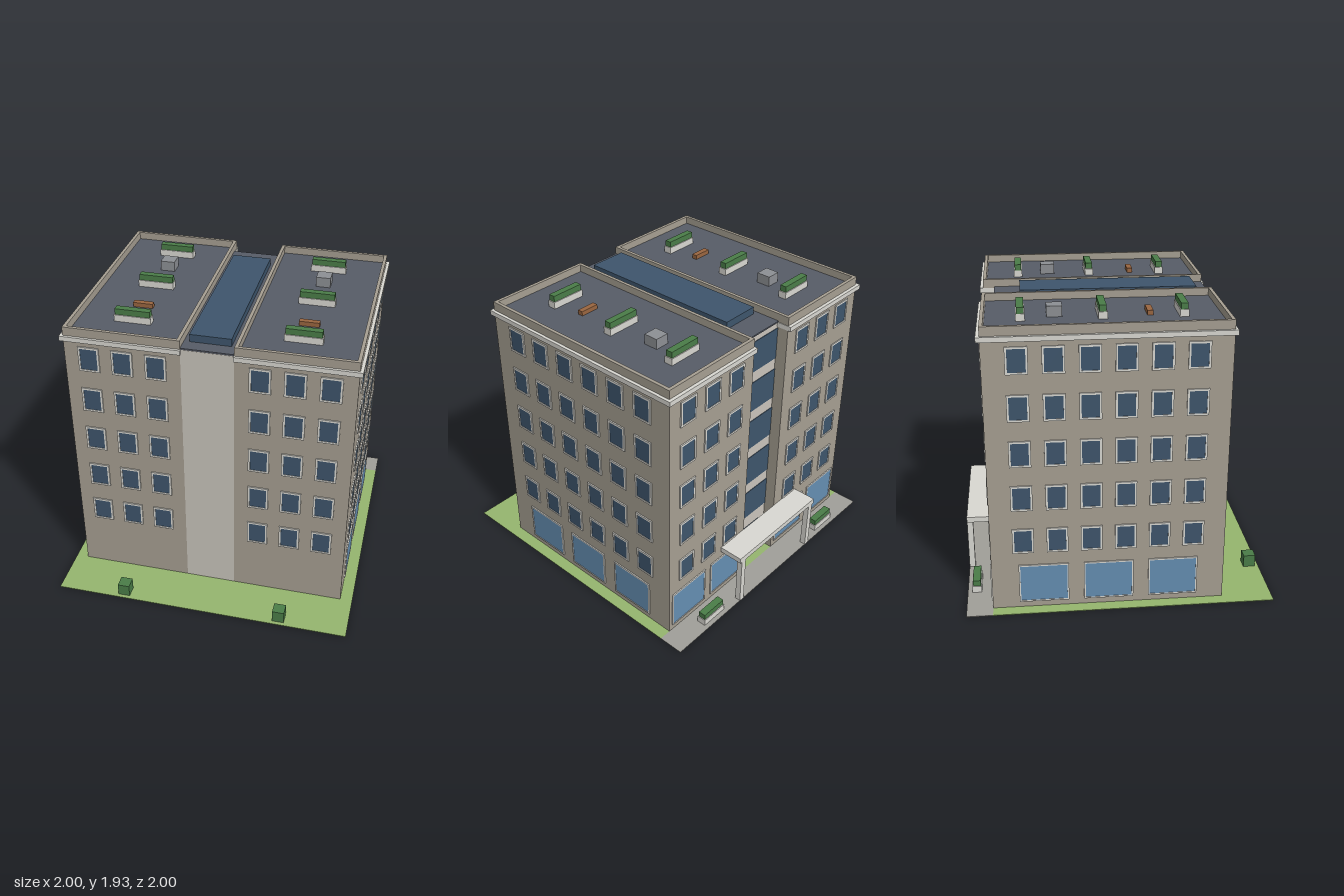
import * as THREE from 'three';

const mat = (color) => new THREE.MeshStandardMaterial({ color, flatShading: true });
const M = {
  wall: mat(0xa69f92), core: mat(0xc9c4bb), trim: mat(0xd9d8d2), roof: mat(0x575c67),
  glass: mat(0x3e556c), shopGlass: mat(0x658eb2), grass: mat(0x95b56e), paving: mat(0xa09f99),
  hedge: mat(0x4a7d48), metal: mat(0x8d9094), wood: mat(0x9a6640),
};

// Box given by its minimum and maximum on each axis
function box(parent, name, material, [x0, x1], [y0, y1], [z0, z1]) {
  const mesh = new THREE.Mesh(new THREE.BoxGeometry(x1 - x0, y1 - y0, z1 - z0), material);
  mesh.name = name;
  mesh.position.set((x0 + x1) / 2, (y0 + y1) / 2, (z0 + z1) / 2);
  parent.add(mesh);
  return mesh;
}

// Rectangular ring extruded along +z
function ringGeometry(w, h, border, depth) {
  const rect = (target, a, b) => target.moveTo(-a, -b).lineTo(a, -b).lineTo(a, b).lineTo(-a, b).closePath();
  const shape = rect(new THREE.Shape(), w / 2, h / 2);
  shape.holes.push(rect(new THREE.Path(), w / 2 - border, h / 2 - border));
  return new THREE.ExtrudeGeometry(shape, { depth, bevelEnabled: false });
}

// Window maker: raised frame around a thin pane, facing +z before turning
function windowMaker(name, w, h, border, glass) {
  const frameGeo = ringGeometry(w, h, border, 0.008);
  const paneGeo = new THREE.BoxGeometry(w - border * 2, h - border * 2, 0.01);
  return (parent, x, y, z, turn) => {
    const g = new THREE.Group();
    g.name = name;
    const frame = new THREE.Mesh(frameGeo, M.trim);
    frame.name = 'windowFrame';
    const pane = new THREE.Mesh(paneGeo, glass);
    pane.name = 'windowPane';
    g.add(frame, pane);
    g.position.set(x, y, z);
    g.rotation.y = turn;
    parent.add(g);
  };
}

// Trough with a clipped hedge
function planter(parent, x, y, z, w, d) {
  const g = new THREE.Group();
  g.name = 'planter';
  g.position.set(x, y, z);
  box(g, 'trough', M.trim, [-w / 2, w / 2], [0, 0.045], [-d / 2, d / 2]);
  box(g, 'hedge', M.hedge, [-w / 2 + 0.006, w / 2 - 0.006], [0.045, 0.085], [-d / 2 + 0.006, d / 2 - 0.006]);
  parent.add(g);
}

export function createModel() {
  const model = new THREE.Group();
  model.name = 'apartmentBuilding';
  const addWindow = windowMaker('window', 0.136, 0.172, 0.013, M.glass);
  const addShopWindow = windowMaker('groundFloorWindow', 0.32, 0.27, 0.01, M.shopGlass);
  const floors = [0, 1, 2, 3, 4].map((i) => 0.49 + 0.3 * i);
  const FRONT = 0.67, BACK = -0.83, MID = -0.08, IN = 0.168, OUT = 0.918, WX = 0.543, ROOF = 1.85;

  // Ground
  box(model, 'lawn', M.grass, [-1, 1], [0, 0.005], [BACK, 1]);
  box(model, 'paving', M.paving, [-1, 1], [0, 0.005], [-1, BACK]);

  // Two mirrored wings
  for (const s of [-1, 1]) {
    const wing = new THREE.Group();
    wing.name = s > 0 ? 'leftWing' : 'rightWing';
    model.add(wing);
    const span = (a, b) => (s > 0 ? [a, b] : [-b, -a]);
    box(wing, 'wingWalls', M.wall, span(IN, OUT), [0, 1.845], [BACK, FRONT]);
    box(wing, 'cornice', M.trim, span(IN - 0.004, 0.938), [1.81, 1.842], [-0.852, 0.687]);
    box(wing, 'wingRoof', M.roof, span(IN + 0.01, OUT - 0.01), [1.84, ROOF], [BACK + 0.01, FRONT - 0.01]);

    const parapet = new THREE.Mesh(ringGeometry(OUT - IN, FRONT - BACK, 0.022, 0.057), M.wall);
    parapet.name = 'parapet';
    parapet.rotation.x = -Math.PI / 2;
    parapet.position.set(s * WX, 1.843, MID);
    wing.add(parapet);

    // Upper floor windows on front, back and side
    for (const y of floors) {
      for (const i of [-1, 0, 1]) {
        addWindow(wing, s * (WX + i * 0.216), y, FRONT, 0);
        addWindow(wing, s * (WX + i * 0.216), y, BACK, Math.PI);
      }
      for (let i = 0; i < 6; i++) {
        addWindow(wing, s * OUT, y, MID + (i - 2.5) * 0.217, s * Math.PI / 2);
      }
    }

    // Large ground floor windows on side and back
    for (const i of [-1, 0, 1]) addShopWindow(wing, s * OUT, 0.18, MID + i * 0.417, s * Math.PI / 2);
    for (const i of [-1, 1]) addShopWindow(wing, s * (WX + i * 0.188), 0.18, BACK, Math.PI);

    // Roof garden
    for (const z of [-0.59, -0.09, 0.41]) planter(wing, s * WX, ROOF, z, 0.24, 0.057);
    box(wing, 'roofVent', M.metal, span(0.493, 0.59), [ROOF, 1.918], [-0.43, -0.333]);
    box(wing, 'roofBench', M.wood, span(0.477, 0.607), [ROOF, 1.88], [0.188, 0.225]);

    // Ground level planting
    planter(model, s * 0.625, 0.005, -0.938, 0.2, 0.062);
    box(model, 'shrub', M.hedge, span(0.5, 0.58), [0.005, 0.09], [0.895, 0.975]);

    // Canopy post
    box(model, 'canopyPost', M.trim, span(0.355, 0.395), [0, 0.365], [-1, -0.96]);
  }

  // Central stair core with glazed back
  const core = new THREE.Group();
  core.name = 'stairCore';
  model.add(core);
  box(core, 'coreWalls', M.core, [-IN, IN], [0, 1.84], [-0.75, FRONT]);
  box(core, 'coreRoof', M.roof, [-IN, IN], [1.84, ROOF], [-0.755, FRONT - 0.002]);
  for (const y of floors) {
    box(core, 'glassBand', M.glass, [-IN, IN], [y - 0.11, y + 0.11], [-0.754, -0.74]);
  }
  box(core, 'entranceDoor', M.glass, [-0.1, 0.1], [0.005, 0.28], [-0.76, -0.74]);
  box(core, 'skylight', M.glass, [-0.133, 0.131], [ROOF, 1.9], [-0.585, 0.578]);

  // Entrance canopy
  box(model, 'canopyRoof', M.trim, [-0.412, 0.412], [0.362, 0.4], [-1, -0.832]);

  return model;
}
